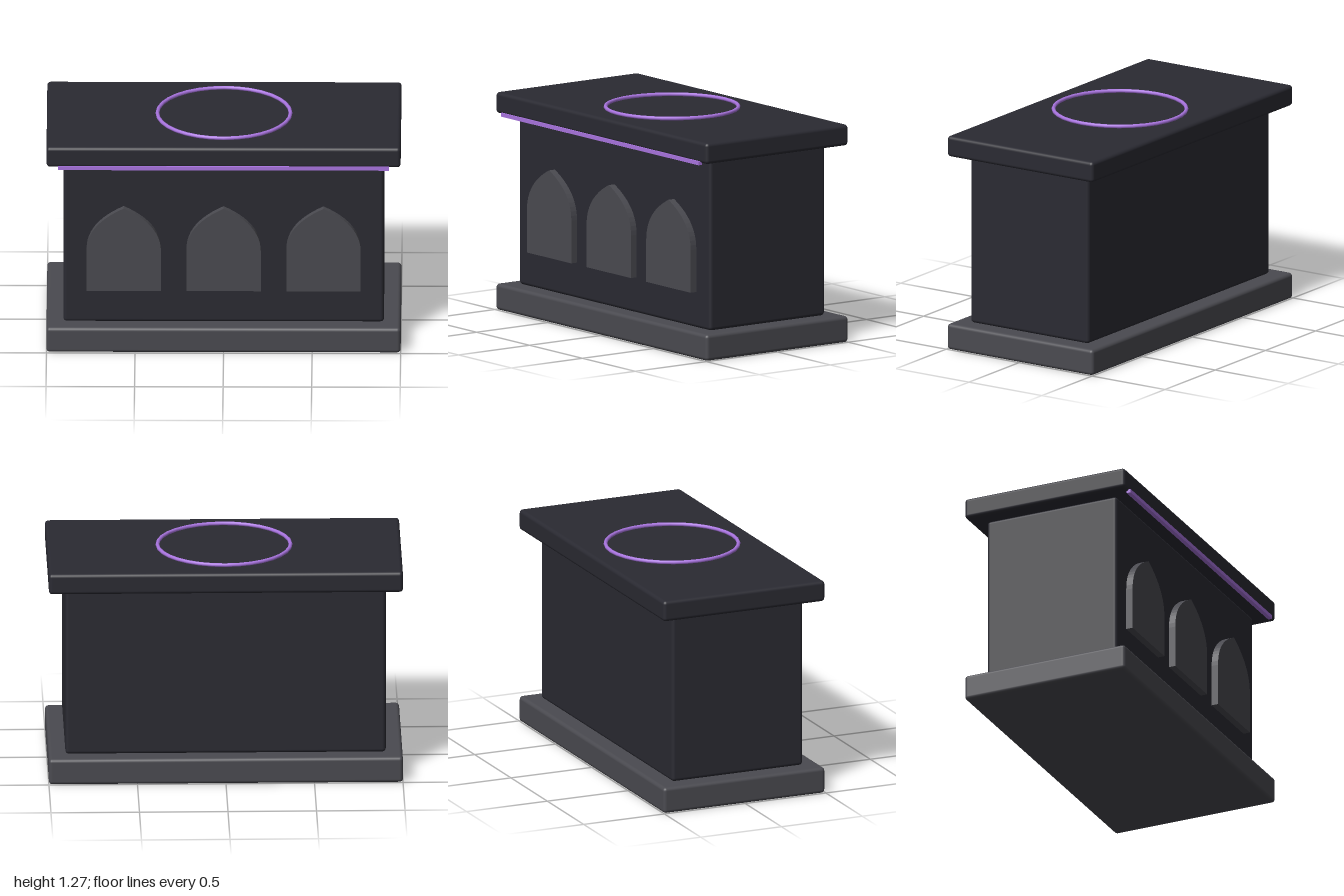
import * as THREE from 'three';
import { RoundedBoxGeometry } from 'three/addons/geometries/RoundedBoxGeometry.js';

const dark = new THREE.MeshStandardMaterial({ color: 0x2a2a32 });
const stone = new THREE.MeshStandardMaterial({ color: 0x4a4a50 });
const violet = new THREE.MeshStandardMaterial({ color: 0xa974e0 });

export function createModel() {
  const group = new THREE.Group();
  const add = (name, geometry, material, x, y, z) => {
    const mesh = new THREE.Mesh(geometry, material);
    mesh.name = name;
    mesh.position.set(x, y, z);
    group.add(mesh);
    return mesh;
  };
  // Soft-edged block spanning y0 to y1
  const slab = (name, w, y0, y1, d, material) =>
    add(name, new RoundedBoxGeometry(w, y1 - y0, d, 3, 0.02), material, 0, (y0 + y1) / 2, -0.003);

  slab('basePlinth', 2, 0, 0.15, 1, stone);
  slab('altarBody', 1.81, 0.15, 1.13, 0.81, dark);
  slab('topSlab', 2, 1.13, 1.25, 1, dark);

  // Pointed arch panels on the front
  const arch = new THREE.Shape();
  arch.moveTo(-0.21, 0.355);
  arch.lineTo(0.21, 0.355);
  arch.lineTo(0.21, 0.6);
  arch.quadraticCurveTo(0.21, 0.76, 0, 0.858);
  arch.quadraticCurveTo(-0.21, 0.76, -0.21, 0.6);
  arch.closePath();
  const panel = new THREE.ExtrudeGeometry(arch, { depth: 0.05, bevelEnabled: false, curveSegments: 12 });
  for (const i of [-1, 0, 1]) add('archPanel', panel, stone, i * 0.564, 0, 0.392);

  // Glowing strip under the front lip and ring on the top
  add('frontTrim', new THREE.BoxGeometry(1.87, 0.022, 0.024), violet, 0, 1.129, 0.493);
  const ring = add('topRing', new THREE.TorusGeometry(0.376, 0.011, 8, 32), violet, 0, 1.26, -0.003);
  ring.rotation.x = -Math.PI / 2;
  return group;
}
